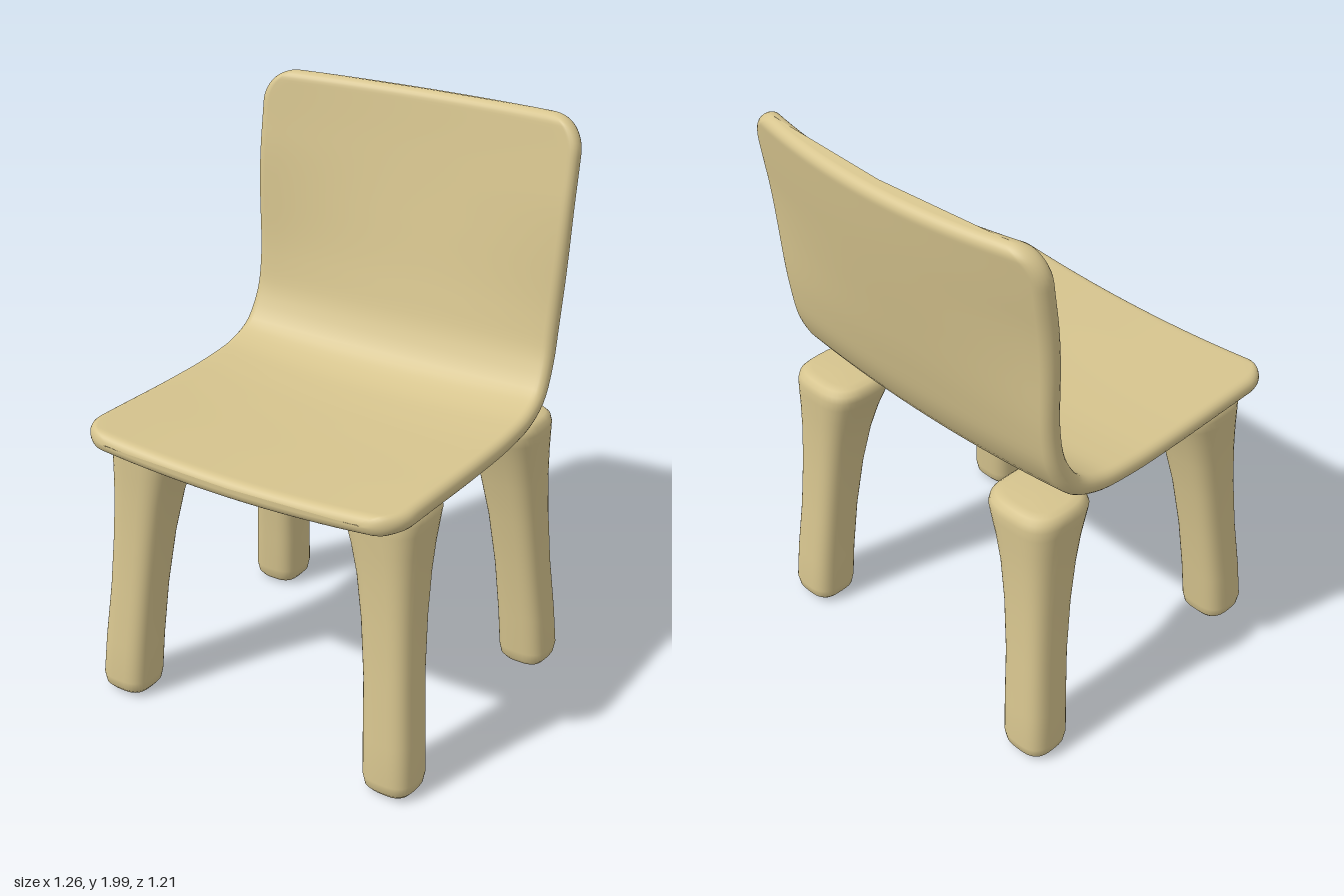
import * as THREE from 'three';

const wood = new THREE.MeshStandardMaterial({ color: 0xd6c48e });
wood.name = 'pale wood';

// Skin a list of equal-length rings into a closed smooth surface
function loft(rings, flip) {
  const n = rings[0].length, pos = [], idx = [];
  const tri = (a, b, c) => (flip ? idx.push(a, c, b) : idx.push(a, b, c));
  rings.forEach(r => r.forEach(p => pos.push(p.x, p.y, p.z)));
  for (let i = 0; i < rings.length - 1; i++) {
    for (let j = 0; j < n; j++) {
      const a = i * n + j, b = i * n + (j + 1) % n;
      tri(a, a + n, b);
      tri(b, a + n, b + n);
    }
  }
  // End caps
  [0, rings.length - 1].forEach((k, e) => {
    const c = new THREE.Vector3();
    rings[k].forEach(p => c.addScaledVector(p, 1 / n));
    const ci = pos.length / 3;
    pos.push(c.x, c.y, c.z);
    for (let j = 0; j < n; j++) {
      const a = k * n + j, b = k * n + (j + 1) % n;
      e ? tri(ci, b, a) : tri(ci, a, b);
    }
  });
  const g = new THREE.BufferGeometry();
  g.setAttribute('position', new THREE.Float32BufferAttribute(pos, 3));
  g.setIndex(idx);
  g.computeVertexNormals();
  return g;
}

// Quarter-circle falloff towards an end at distance d
const roundOff = (d, r) => (d >= r ? r : Math.sqrt(Math.max(0, r * r - (r - d) ** 2)));

// One bent sheet: seat sweeping up into the backrest, dished across its width
function shellGeometry() {
  const path = new THREE.CatmullRomCurve3([
    [0.605, 0.977], [0.4, 0.975], [0.1, 0.972], [-0.1, 0.978], [-0.25, 1.0], [-0.36, 1.06],
    [-0.425, 1.17], [-0.465, 1.32], [-0.51, 1.56], [-0.55, 1.8], [-0.577, 1.986],
  ].map(([z, y]) => new THREE.Vector3(0, y, z)));
  const L = path.getLength(), N = 90, h = 0.034, R = 0.12;
  const sag = s => 0.035 - 0.012 * THREE.MathUtils.smoothstep(s, 0.4, 0.6)
    + 0.047 * THREE.MathUtils.smoothstep(s, 0.58, 0.88);
  const rings = [];
  for (let i = 0; i <= N; i++) {
    // Stations crowd together near both ends
    const s = (1 - Math.cos(Math.PI * i / N)) / 2;
    const p = path.getPointAt(s), t = path.getTangentAt(s);
    const normal = new THREE.Vector3(0, -t.z, t.y);
    const d = Math.min(s, 1 - s) * L;
    const th = Math.max(0.002, roundOff(d, h));
    const waist = 0.612 - 0.016 * Math.exp(-(((s - 0.62) / 0.13) ** 2));
    const w = waist - R + roundOff(d, R) - h;
    const ring = [];
    const add = (x, n) => ring.push(p.clone().addScaledVector(normal, n + sag(s) * (x / 0.6) ** 2).setX(x));
    // Flat faces with half-round long edges
    for (let k = 0; k < 24; k++) add(-w + 2 * w * k / 24, th);
    for (let k = 0; k < 10; k++) add(w + h * Math.sin(Math.PI * k / 10), th * Math.cos(Math.PI * k / 10));
    for (let k = 0; k < 24; k++) add(w - 2 * w * k / 24, -th);
    for (let k = 0; k < 10; k++) add(-w - h * Math.sin(Math.PI * k / 10), -th * Math.cos(Math.PI * k / 10));
    rings.push(ring);
  }
  return loft(rings, true);
}

// Leg sections: height, inner x, outer x, inner z, outer z
const legSections = [
  [0.0, 0.49, 0.585, 0.42, 0.51],
  [0.008, 0.467, 0.61, 0.397, 0.535],
  [0.025, 0.452, 0.624, 0.383, 0.55],
  [0.06, 0.445, 0.63, 0.376, 0.556],
  [0.2, 0.438, 0.62, 0.367, 0.545],
  [0.4, 0.425, 0.603, 0.348, 0.523],
  [0.6, 0.403, 0.593, 0.32, 0.508],
  [0.75, 0.378, 0.59, 0.29, 0.502],
  [0.85, 0.352, 0.592, 0.264, 0.502],
  [0.92, 0.328, 0.596, 0.24, 0.504],
  [0.955, 0.316, 0.598, 0.228, 0.504],
  [0.978, 0.32, 0.592, 0.235, 0.498],
  [0.992, 0.335, 0.578, 0.25, 0.483],
  [0.998, 0.36, 0.555, 0.28, 0.455],
];

function legGeometry(sx, sz) {
  const soft = v => Math.sign(v) * Math.abs(v) ** 0.67;
  const rings = legSections.map(([y, x0, x1, z0, z1]) => {
    // Rear legs splay slightly less than the front ones
    const tuck = sz < 0 ? 0.01 * (1 - y) : 0;
    return Array.from({ length: 40 }, (_, k) => {
      const a = k / 40 * Math.PI * 2;
      const x = (x0 + x1) / 2 + soft(Math.cos(a)) * (x1 - x0) / 2;
      const z = (z0 + z1) / 2 + soft(Math.sin(a)) * (z1 - z0) / 2 - tuck;
      return new THREE.Vector3(sx * x, y, sz * z);
    });
  });
  return loft(rings, sx * sz < 0);
}

export function createModel() {
  const group = new THREE.Group();
  group.name = 'chair';
  const add = (name, geometry) => {
    const mesh = new THREE.Mesh(geometry, wood);
    mesh.name = name;
    group.add(mesh);
  };
  add('seatAndBackrest', shellGeometry());
  for (const sx of [1, -1]) {
    for (const sz of [1, -1]) {
      add((sz > 0 ? 'front' : 'rear') + (sx > 0 ? 'Left' : 'Right') + 'Leg', legGeometry(sx, sz));
    }
  }
  return group;
}
